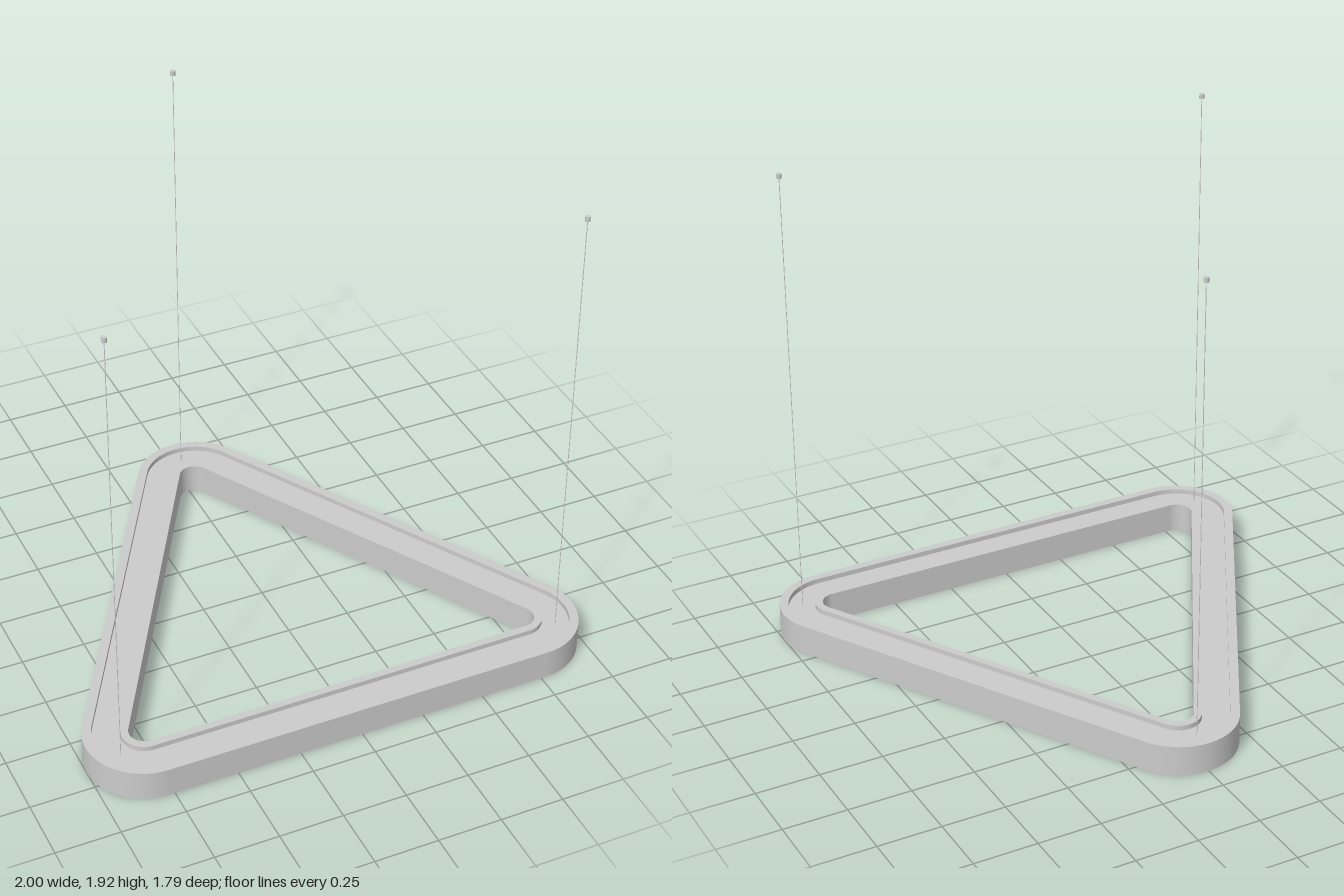
import * as THREE from 'three';

const CENTRE_Z = 0.222;    // centroid of the triangle
const CORNER_DIST = 0.889; // centroid to the centre of each corner arc
const CORNERS = [-90, 30, 150].map(THREE.MathUtils.degToRad);
const ARC_STEPS = 24;

// Sweeps a profile of [arc radius, y] points around the rounded triangle.
// Counter-clockwise profiles face outward; every profile edge stays sharp.
function sweepTriangle(profile, closed) {
  const path = [];
  for (const dir of CORNERS) {
    const cx = CORNER_DIST * Math.cos(dir), cz = CENTRE_Z + CORNER_DIST * Math.sin(dir);
    for (let i = 0; i <= ARC_STEPS; i++) {
      const a = dir + (i / ARC_STEPS - 0.5) * (2 * Math.PI / 3);
      path.push({ cx, cz, c: Math.cos(a), s: Math.sin(a) });
    }
  }
  const positions = [], normals = [], index = [];
  const n = path.length, edges = closed ? profile.length : profile.length - 1;
  for (let e = 0; e < edges; e++) {
    const p = profile[e], q = profile[(e + 1) % profile.length];
    const len = Math.hypot(q[0] - p[0], q[1] - p[1]);
    const nr = (q[1] - p[1]) / len, ny = (p[0] - q[0]) / len;
    const base = positions.length / 3;
    path.forEach(({ cx, cz, c, s }, i) => {
      for (const [r, y] of [p, q]) {
        positions.push(cx + r * c, y, cz + r * s);
        normals.push(nr * c, ny, nr * s);
      }
      const a = base + 2 * i, b = base + 2 * ((i + 1) % n);
      index.push(a, a + 1, b, b, a + 1, b + 1);
    });
  }
  const g = new THREE.BufferGeometry();
  g.setAttribute('position', new THREE.Float32BufferAttribute(positions, 3));
  g.setAttribute('normal', new THREE.Float32BufferAttribute(normals, 3));
  g.setIndex(index);
  return g;
}

export function createModel() {
  const model = new THREE.Group();
  const material = new THREE.MeshStandardMaterial({ color: 0xcccccc });
  const add = (name, geometry, x = 0, y = 0, z = 0) => {
    const mesh = new THREE.Mesh(geometry, material);
    mesh.name = name;
    mesh.position.set(x, y, z);
    model.add(mesh);
  };

  // Housing: raised outer and inner rims around a recessed top panel
  add('housing', sweepTriangle([
    [0.195, 0.003], [0.195, 0], [0.23, 0], [0.23, 0.12], [0.195, 0.12], [0.195, 0.1],
    [0.09, 0.1], [0.09, 0.12], [0.06, 0.12], [0.06, 0], [0.09, 0], [0.09, 0.003],
  ], false));

  // Light diffuser set into the underside
  add('diffuser', sweepTriangle([[0.09, 0.002], [0.195, 0.002]], false));

  // Suspension cable and ceiling fixing at each corner
  const cable = new THREE.CylinderGeometry(0.0015, 0.0015, 1.8, 8);
  const fixing = new THREE.CylinderGeometry(0.01, 0.01, 0.018, 20);
  for (const dir of CORNERS) {
    const x = 1.03 * Math.cos(dir), z = CENTRE_Z + 1.03 * Math.sin(dir);
    add('suspensionCable', cable, x, 1.0, z);
    add('ceilingFixing', fixing, x, 1.907, z);
  }
  return model;
}
